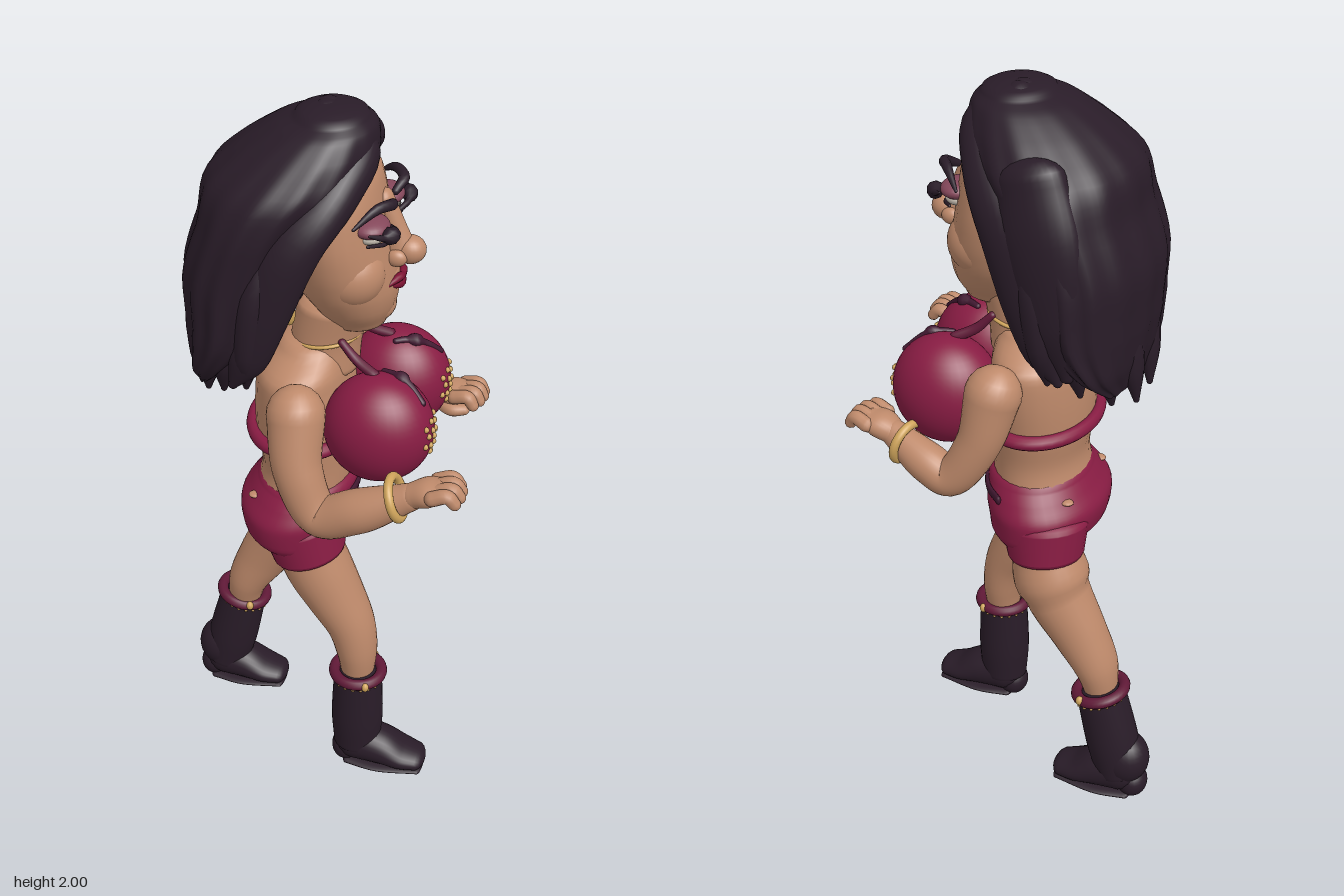
import * as THREE from 'three';

const V = (x, y, z) => new THREE.Vector3(x, y, z);
const mat = (name, color) => { const m = new THREE.MeshStandardMaterial({ color }); m.name = name; return m; };
const MID = -0.033; // z of the body's plane of symmetry
const X = V(1, 0, 0), Y = V(0, 1, 0), Z = V(0, 0, 1);

// Smooth body through rows of [x, y, z, radiusU, radiusV], with domed ends.
function sweep(rows, { ref = X, dir = null, round = 1, steps = 24, seg = 28, ripple = null } = {}) {
  const path = new THREE.CatmullRomCurve3(rows.map(r => V(r[0], r[1], r[2])));
  const size = new THREE.CatmullRomCurve3(rows.map(r => V(r[3], r[4] ?? r[3], 0)));
  const pos = [], idx = [];
  let rings = 0;
  const ring = (t, a) => {
    const c = path.getPoint(t), s = size.getPoint(t), d = dir ?? path.getTangent(t).normalize();
    const u = ref.clone().addScaledVector(d, -ref.dot(d)).normalize(), v = u.clone().cross(d);
    c.addScaledVector(d, Math.sin(a) * Math.min(s.x, s.y) * round);
    for (let i = 0; i < seg; i++) {
      const th = i / seg * Math.PI * 2, k = Math.max(Math.cos(a), 0.001) * (ripple ? ripple(t, th) : 1);
      const p = c.clone().addScaledVector(u, Math.cos(th) * s.x * k).addScaledVector(v, Math.sin(th) * s.y * k);
      pos.push(p.x, p.y, p.z);
    }
    rings++;
  };
  const dome = [0.3, 0.65, 1, 1.3, Math.PI / 2];
  [...dome].reverse().forEach(a => ring(0, -a));
  for (let i = 0; i <= steps; i++) ring(i / steps, 0);
  dome.forEach(a => ring(1, a));
  for (let j = 0; j < rings - 1; j++) for (let i = 0; i < seg; i++) {
    const a = j * seg + i, b = j * seg + (i + 1) % seg;
    idx.push(a, a + seg, b, b, a + seg, b + seg);
  }
  const g = new THREE.BufferGeometry();
  g.setAttribute('position', new THREE.Float32BufferAttribute(pos, 3));
  g.setIndex(idx);
  g.computeVertexNormals();
  return g;
}

export function createModel() {
  const root = new THREE.Group();
  root.name = 'walkingWoman';
  const skin = mat('skin', 0xbf8a6b), dark = mat('darkPlum', 0x291c28), red = mat('burgundy', 0x881c43),
    wine = mat('wine', 0x601937), trim = mat('trim', 0x401830), gold = mat('gold', 0xd0a55c),
    lip = mat('lips', 0x7d1233), shadow = mat('eyeshadow', 0x84475a), white = mat('eyeWhite', 0xc9c0b4),
    iris = mat('iris', 0x3c3530);

  const add = (name, geo, m) => {
    const mesh = new THREE.Mesh(geo, m);
    mesh.name = name;
    root.add(mesh);
    return mesh;
  };
  const body = (name, m, rows, opt) => add(name, sweep(rows, opt), m);
  const stack = (name, m, rows, opt = {}) => body(name, m, rows, { dir: Y, round: 0.35, ...opt });
  const thin = (name, m, rows, opt = {}) => body(name, m, rows, { steps: 12, seg: 10, ...opt });
  const ball = (name, m, x, y, z, rx, ry = rx, rz = rx, n = 24) => {
    const o = add(name, new THREE.SphereGeometry(1, n, Math.ceil(n * 0.7)), m);
    o.position.set(x, y, z);
    o.scale.set(rx, ry, rz);
    return o;
  };
  const hoop = (name, m, p, axis, r, tube) => {
    const o = add(name, new THREE.TorusGeometry(r, tube, 12, 40), m);
    o.position.copy(p);
    o.quaternion.setFromUnitVectors(Z, axis.clone().normalize());
    return o;
  };

  // Torso, neck and necklace
  stack('torso', skin, [[-.06, .9, MID, .13, .17], [-.045, 1, MID, .122, .157], [-.05, 1.1, MID, .13, .173],
    [-.05, 1.22, MID, .13, .19], [-.05, 1.3, MID, .12, .19], [-.03, 1.36, MID, .09, .11]]);
  stack('neck', skin, [[0, 1.3, MID, .09, .09], [.005, 1.38, MID, .092, .086], [.025, 1.47, MID, .095, .09]]);
  hoop('necklace', gold, V(.007, 1.385, MID), V(-.15, 1, 0), .089, .005);

  // Head and face
  stack('head', skin, [[.08, 1.445, MID, .08, .08], [.075, 1.49, MID, .105, .118], [.06, 1.55, MID, .128, .152],
    [.05, 1.62, MID, .127, .175], [.04, 1.7, MID, .12, .185], [.03, 1.78, MID, .118, .18],
    [.02, 1.85, MID, .11, .15], [0, 1.9, MID, .08, .1]]);
  ball('chin', skin, .135, 1.487, MID, .047, .045, .06);
  ball('mouthArea', skin, .14, 1.562, MID, .05, .05, .08);
  body('noseBridge', skin, [[.185, 1.645, MID, .04, .035], [.17, 1.7, MID, .03, .028], [.145, 1.775, MID, .022, .028]]);
  ball('noseTip', skin, .212, 1.642, MID, .04, .036, .038);
  thin('upperLip', lip, [[.17, 1.568, MID + .065, .004], [.192, 1.575, MID + .022, .011], [.194, 1.57, MID, .01],
    [.192, 1.575, MID - .022, .011], [.17, 1.568, MID - .065, .004]], { ref: Y });
  thin('lowerLip', lip, [[.17, 1.563, MID + .055, .004], [.191, 1.551, MID, .014], [.17, 1.563, MID - .055, .004]], { ref: Y });

  for (const s of [1, -1]) {
    const z = d => MID + s * d;
    ball('cheek', skin, .082, 1.605, z(.082), .085, .085, .083, 32);
    ball('nostril', skin, .185, 1.632, z(.035), .026, .022, .018);
    ball('eye', white, .132, 1.72, z(.09), .036, .022, .044);
    ball('iris', iris, .158, 1.717, z(.088), .012, .013, .015);
    ball('eyelid', shadow, .131, 1.741, z(.092), .047, .024, .056);
    thin('upperLash', dark, [[.17, 1.718, z(.04), .006], [.19, 1.731, z(.09), .009],
      [.175, 1.738, z(.14), .009], [.145, 1.757, z(.178), .003]], { ref: Y });
    thin('lowerLash', dark, [[.16, 1.71, z(.045), .004], [.17, 1.7, z(.09), .006], [.135, 1.712, z(.145), .004]], { ref: Y });
    thin('eyebrow', dark, [[.165, 1.775, z(.035), .01], [.178, 1.794, z(.075), .014],
      [.15, 1.798, z(.12), .012], [.105, 1.765, z(.17), .004]], { ref: Y });
    ball('ear', skin, -.045, 1.61, z(.175), .03, .04, .02);
    ball('earring', gold, -.045, 1.535, z(.19), .015, .032, .015, 12);
    ball('earringStud', gold, -.045, 1.578, z(.19), .012, .012, .012, 10);

    // Loose locks behind the shoulders
    for (const [x, y, d, r] of [[-.13, 1.33, .22, .045], [-.2, 1.29, .18, .045], [-.26, 1.25, .12, .045], [-.3, 1.23, .05, .035]])
      body('hairLock', dark, [[x - .02, y, z(d), .008], [x - .01, y + .1, z(d + .01), r * .85, r],
        [x + .01, y + .25, z(d + .01), r, r * 1.1], [x + .04, y + .4, z(d - .01), r * .6]], { steps: 14, seg: 14 });

    // Neck straps and dark strips on the cups
    thin('neckStrap', wine, [[.06, 1.4, z(.075), .01], [.1, 1.36, z(.085), .013], [.15, 1.335, z(.105), .014]], { ref: Z });
    thin('cupStrip', trim, [[.17, 1.331, z(.075), .008], [.2, 1.332, z(.088), .01],
      [.235, 1.322, z(.103), .01], [.28, 1.286, z(.13), .008]], { ref: Z });
  }

  // Fringe, parted off centre and swept to both sides
  body('rightFringe', dark, [[0, 1.955, -.07, .045, .05], [.08, 1.905, -.015, .055, .055], [.05, 1.83, .095, .06, .055],
    [-.025, 1.735, .175, .07, .045], [-.095, 1.56, .2, .065, .04], [-.14, 1.42, .205, .05, .03],
    [-.18, 1.34, .2, .012]], { steps: 32 });
  body('leftFringe', dark, [[0, 1.955, -.04, .045, .05], [.07, 1.91, -.1, .055, .05], [.035, 1.84, -.18, .06, .045],
    [-.035, 1.74, -.247, .07, .045], [-.095, 1.56, -.265, .065, .04], [-.14, 1.42, -.265, .05, .03],
    [-.18, 1.34, -.26, .012]], { steps: 32 });
  body('sideHair', dark, [[-.2, 1.36, -.25, .02], [-.17, 1.5, -.262, .08, .045], [-.135, 1.7, -.262, .1, .05],
    [-.1, 1.84, -.235, .085, .05]]);

  // Main hair mass with shallow grooves
  stack('hair', dark, [[-.285, 1.28, MID, .025, .15], [-.255, 1.35, MID, .075, .23], [-.208, 1.45, MID, .135, .265],
    [-.187, 1.6, MID, .16, .272], [-.147, 1.72, MID, .163, .27], [-.095, 1.82, MID, .195, .25],
    [-.04, 1.9, MID, .17, .19], [0, 1.955, MID, .125, .135], [.015, 1.975, MID, .09, .1]],
  { seg: 96, steps: 36, round: .27, ripple: (t, a) => 1 + .03 * (1 - t) * Math.cos(a * 15) });

  // Studded top
  for (const c of [.09, -.157]) {
    ball('cup', red, .168, 1.195, c, .143, .148, .122, 36);
    for (let i = 0; i < 17; i++) {
      const r = .058 * Math.sqrt((i + .3) / 17), a = i * 2.4, dy = r * Math.sin(a), dz = r * Math.cos(a);
      const x = .168 + .143 * Math.sqrt(1 - (dy / .148) ** 2 - (dz / .122) ** 2);
      ball('stud', gold, x, 1.195 + dy, c + dz, .008, .008, .008, 8);
    }
  }
  ball('centreGem', red, .255, 1.16, MID, .02, .025, .017, 14);
  ball('centreStud', gold, .27, 1.14, MID, .01, .01, .01, 8);
  hoop('backBand', red, V(-.05, 1.115, MID), Y, 1, .12).scale.set(.14, .182, .16);

  // Shorts and waistband
  stack('shorts', red, [[-.06, .765, MID, .11, .18], [-.07, .81, MID, .148, .212], [-.07, .87, MID, .157, .215],
    [-.055, .92, MID, .144, .19], [-.045, .95, MID, .134, .168]], { seg: 40 });
  const band = [1.15, .75, .35, 0, -.35, -.75, -1.15].map(a =>
    [-.057 + .147 * Math.cos(a), .915 + .008 * Math.cos(a), MID + .194 * Math.sin(a), .007, .014]);
  thin('waistband', trim, band, { steps: 30 });
  for (const [x, y, z] of [[.038, .89, .118], [-.165, .92, .085], [-.165, .92, -.151]])
    ball('hipGap', skin, x, y, z, .018, .007, .016, 12);

  // Legs, shorts legs and boots
  body('frontLeg', skin, [[.122, .33, .078, .045, .048], [.118, .42, .075, .058, .066], [.098, .51, .072, .068, .074],
    [.053, .6, .068, .081, .085], [.002, .7, .066, .092, .092], [-.03, .78, .065, .092, .09]], { round: .3 });
  body('backLeg', skin, [[-.28, .335, -.165, .045, .048], [-.262, .42, -.163, .06, .068], [-.21, .52, -.163, .076, .076],
    [-.142, .64, -.16, .09, .09], [-.1, .77, -.15, .09, .09]], { round: .3 });
  body('frontShortsLeg', red, [[-.02, .752, .068, .102, .103], [-.045, .84, .066, .112, .108]], { round: .3 });
  body('backShortsLeg', red, [[-.107, .752, -.15, .102, .106], [-.098, .84, -.138, .118, .112]], { round: .3 });

  const boot = (name, z, ankle, top, heelX, toe) => {
    body(name + 'Shaft', dark, [[ankle, .08, z, .067, .064], [ankle * .6 + top * .4, .19, z, .074, .07],
      [top, .348, z, .068, .067]], { round: .1 });
    body(name + 'Foot', dark, [[ankle, .083, z, .066, .062], [toe - .125, .07, z, .054, .064],
      [toe - .065, .05, z, .036, .064], [toe - .022, .042, z, .028, .054]], { ref: Y });
    body(name + 'Sole', dark, [[heelX + .05, .018, z, .012, .05], [toe - .13, .017, z, .011, .064], [toe - .01, .019, z, .011, .05]], { ref: Y });
    ball(name + 'Heel', dark, heelX + .045, .05, z, .043, .047, .047);
    const lean = V(top - ankle, .25, 0).normalize(), across = V(lean.y, -lean.x, 0);
    hoop(name + 'Cuff', wine, V(top, .35, z), lean, .067, .016);
    for (let i = 0; i < 20; i++) {
      const a = i / 20 * Math.PI * 2, p = V(top, .331, z).addScaledVector(across, .071 * Math.cos(a)).addScaledVector(Z, .071 * Math.sin(a));
      ball(name + 'Stitch', gold, p.x, p.y, p.z, .005, .0035, .005, 6);
    }
    for (const s of [1, -1]) ball(name + 'CuffStud', gold, top + .035, .35, z + s * .07, .011, .014, .011, 10);
  };
  boot('frontBoot', .088, .125, .125, .05, .325);
  boot('backBoot', -.178, -.345, -.283, -.43, -.158);
  ball('backBootAnkle', dark, -.36, .13, -.178, .07, .08, .066);

  // Arms, bracelets and hands
  const arm = (name, rows, wrist, aim) => {
    body(name, skin, rows, { ref: Z, steps: 36 });
    const d = aim.clone().normalize(), side = V(-d.z, 0, d.x).normalize(), up = side.clone().cross(d);
    if (up.y < 0) up.negate();
    const at = (f, s, u) => wrist.clone().addScaledVector(d, f).addScaledVector(side, s).addScaledVector(up, u);
    const row = (p, a, b) => [p.x, p.y, p.z, a, b];
    hoop('bracelet', gold, at(-.035, 0, 0), d, .053, .012);
    body('palm', skin, [row(at(.01, 0, 0), .036, .032), row(at(.05, 0, .003), .049, .034), row(at(.08, 0, .003), .047, .026)], { ref: Z, steps: 10 });
    for (let i = 0; i < 4; i++) {
      const s = (i - 1.5) * .027, n = Math.abs(i - 1.5) < 1 ? .008 : 0;
      thin('finger', skin, [row(at(.07, s, .008), .02, .02), row(at(.108 + n, s, .008), .019, .019),
        row(at(.12 + n, s, -.016), .016, .016)], { ref: Z });
    }
    const t = -Math.sign(wrist.z);
    thin('thumb', skin, [row(at(.015, t * .025, -.015), .02, .02), row(at(.055, t * .042, -.03), .019, .019),
      row(at(.085, t * .03, -.036), .016, .016)], { ref: Z });
  };
  arm('rightArm', [[-.025, 1.265, .185, .075], [-.01, 1.13, .232, .064], [.05, 1.012, .25, .057], [.15, 1.055, .272, .058],
    [.285, 1.13, .283, .036]], V(.285, 1.135, .283), V(1, .35, .02));
  arm('leftArm', [[-.005, 1.265, -.25, .073], [.025, 1.13, -.278, .058], [.1, 1.02, -.293, .052], [.16, 1.04, -.288, .053],
    [.27, 1.09, -.262, .036]], V(.262, 1.09, -.265), V(1, .25, .24));
  return root;
}
